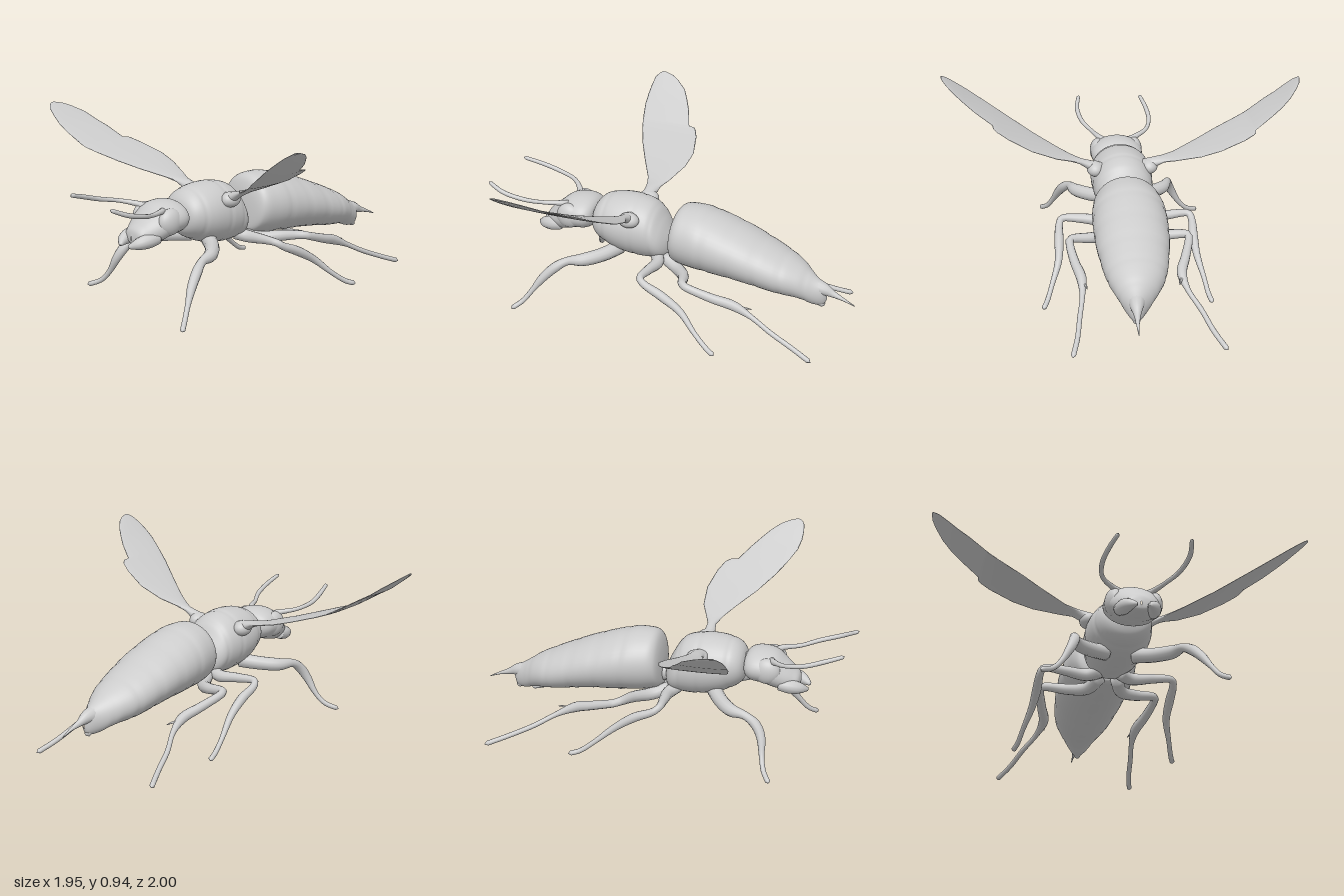
import * as THREE from 'three';

const material = new THREE.MeshStandardMaterial({ color: 0xcccccc });
const wingMaterial = new THREE.MeshStandardMaterial({ color: 0xcccccc, side: THREE.DoubleSide });
const V = (x, y, z) => new THREE.Vector3(x, y, z);

// Skin a list of rings { c, a, b }: centre and two half-axes, with a x b pointing along the list
function loft(rings, sides) {
  const pos = [], index = [];
  rings.forEach(({ c, a, b }, i) => {
    for (let j = 0; j < sides; j++) {
      const t = (j / sides) * Math.PI * 2;
      const p = c.clone().addScaledVector(a, Math.cos(t)).addScaledVector(b, Math.sin(t));
      pos.push(p.x, p.y, p.z);
      if (i === rings.length - 1) continue;
      const k = (j + 1) % sides, r = i * sides, s = r + sides;
      index.push(r + j, r + k, s + j, r + k, s + k, s + j);
    }
  });
  const g = new THREE.BufferGeometry();
  g.setAttribute('position', new THREE.Float32BufferAttribute(pos, 3));
  g.setIndex(index);
  g.computeVertexNormals();
  return g;
}

const spline = (pts) => new THREE.CatmullRomCurve3(pts, false, 'catmullrom', 0.5);

// Body section rows: [z, top, bottom, halfWidth, centreX], z increasing
function body(rows, ripple = () => 1) {
  const height = spline(rows.map((r) => V(r[0], r[1], r[2])));
  const width = spline(rows.map((r) => V(r[3], r[4], 0)));
  const n = rows.length * 8, rings = [];
  for (let i = 0; i <= n; i++) {
    const h = height.getPoint(i / n), w = width.getPoint(i / n), k = ripple(h.x);
    rings.push({
      c: V(w.y, (h.y + h.z) / 2, h.x),
      a: V(Math.max(w.x, 0.001) * k, 0, 0),
      b: V(0, Math.max((h.y - h.z) / 2, 0.001) * k, 0),
    });
  }
  return loft(rings, 40);
}

// Tapering round limb through rows [x, y, z, radius], with rounded ends
function limb(rows, sides = 12) {
  const path = spline(rows.map((r) => V(r[0], r[1], r[2])));
  const radius = spline(rows.map((r) => V(r[3], 0, 0)));
  const n = rows.length * 6;
  const frames = path.computeFrenetFrames(n, false);
  const rings = [];
  for (let i = 0; i <= n; i++) {
    const u = i / n, t = path.getUtoTmapping(u);
    const r = i === 0 || i === n ? 0.0005 : Math.max(radius.getPoint(t).x, 0.002);
    rings.push({
      c: path.getPoint(t),
      a: frames.normals[i].clone().multiplyScalar(r),
      b: frames.binormals[i].clone().multiplyScalar(r),
    });
  }
  return loft(rings, sides);
}

// Thin blade from rows [|x|, y, rearZ, frontZ, halfThickness], root to tip
function wing(rows, side) {
  const rings = rows.map(([x, y, r, f, t]) => {
    const up = V(-0.45 * side * t, t, 0), along = V(0, 0, (f - r) / 2);
    return { c: V(side * x, y, (r + f) / 2), a: side > 0 ? up : along, b: side > 0 ? along : up };
  });
  return loft(rings, 24);
}

export function createModel() {
  const model = new THREE.Group();
  const add = (name, geometry, mat = material) => {
    const m = new THREE.Mesh(geometry, mat);
    m.name = name;
    model.add(m);
    return m;
  };
  const ball = (name, x, y, z, sx, sy, sz) => {
    const m = add(name, new THREE.SphereGeometry(1, 24, 16));
    m.position.set(x, y, z);
    m.scale.set(sx, sy, sz);
    return m;
  };

  // Abdomen with shallow overlapping bands
  const bands = [-0.74, -0.62, -0.49, -0.35, -0.2];
  add('abdomen', body([
    [-0.85, 0.25, 0.21, 0.004, 0.04], [-0.83, 0.29, 0.175, 0.032, 0.04], [-0.78, 0.32, 0.17, 0.064, 0.035],
    [-0.7, 0.375, 0.195, 0.115, 0.025], [-0.6, 0.425, 0.205, 0.155, 0.02], [-0.4, 0.51, 0.235, 0.187, 0.018],
    [-0.2, 0.575, 0.25, 0.193, 0.017], [-0.1, 0.587, 0.258, 0.182, 0.018], [-0.04, 0.575, 0.27, 0.165, 0.02],
    [-0.012, 0.52, 0.28, 0.13, 0.02], [0, 0.42, 0.3, 0.05, 0.02], [-0.01, 0.37, 0.35, 0.002, 0.02],
  ], (z) => 1 - bands.reduce((s, b) => s + 0.022 * Math.exp(-(((z - b) / 0.012) ** 2)), 0)));
  add('sting', limb([[0.035, 0.27, -0.76, 0.05], [0.04, 0.262, -0.83, 0.034], [0.042, 0.245, -0.88, 0.018],
    [0.045, 0.225, -0.94, 0.008], [0.045, 0.2, -1, 0.002]]));
  add('stingSheath', limb([[0.035, 0.23, -0.74, 0.04], [0.04, 0.2, -0.8, 0.03], [0.04, 0.165, -0.835, 0.012]]));

  // Waist and thorax
  add('waist', limb([[0.02, 0.37, 0.08, 0.08], [0.02, 0.36, 0.02, 0.05], [0.02, 0.36, -0.04, 0.07]], 20));
  const seams = [0.1, 0.2, 0.36];
  add('thorax', body([
    [0.01, 0.38, 0.33, 0.01, 0.02], [0.03, 0.43, 0.29, 0.08, 0.02], [0.06, 0.49, 0.27, 0.125, 0.02],
    [0.11, 0.56, 0.265, 0.148, 0.02], [0.2, 0.59, 0.265, 0.163, 0.02], [0.3, 0.59, 0.285, 0.163, 0.022],
    [0.38, 0.572, 0.32, 0.143, 0.023], [0.425, 0.535, 0.355, 0.11, 0.024], [0.445, 0.48, 0.4, 0.05, 0.024],
    [0.45, 0.45, 0.43, 0.002, 0.024],
  ], (z) => 1 - seams.reduce((s, b) => s + 0.02 * Math.exp(-(((z - b) / 0.01) ** 2)), 0)));

  // Head
  add('neck', limb([[0.024, 0.45, 0.39, 0.06], [0.024, 0.455, 0.44, 0.055], [0.025, 0.46, 0.5, 0.06]], 16));
  add('head', body([
    [0.435, 0.47, 0.43, 0.02, 0.025], [0.445, 0.515, 0.4, 0.1, 0.025], [0.48, 0.54, 0.375, 0.135, 0.025],
    [0.54, 0.545, 0.365, 0.142, 0.025], [0.6, 0.53, 0.345, 0.132, 0.024], [0.65, 0.49, 0.335, 0.108, 0.022],
    [0.69, 0.455, 0.34, 0.082, 0.022], [0.72, 0.425, 0.35, 0.055, 0.022], [0.73, 0.39, 0.37, 0.003, 0.022],
  ]));
  for (const s of [1, -1]) {
    ball('eye', 0.025 + s * 0.1, 0.455, 0.565, 0.045, 0.068, 0.07);
    add('mandible', limb([[0.022 + s * 0.085, 0.385, 0.62, 0.03], [0.022 + s * 0.075, 0.375, 0.68, 0.037],
      [0.022 + s * 0.06, 0.365, 0.73, 0.03], [0.022 + s * 0.03, 0.35, 0.775, 0.008]]));
  }

  // Antennae
  add('leftAntenna', limb([[0.08, 0.5, 0.58, 0.022], [0.115, 0.515, 0.61, 0.015], [0.155, 0.52, 0.7, 0.011],
    [0.2, 0.54, 0.79, 0.012], [0.22, 0.57, 0.9, 0.012], [0.205, 0.61, 0.995, 0.01]]));
  add('rightAntenna', limb([[-0.04, 0.5, 0.58, 0.022], [-0.09, 0.515, 0.605, 0.015], [-0.155, 0.53, 0.67, 0.011],
    [-0.18, 0.55, 0.77, 0.012], [-0.17, 0.58, 0.87, 0.012], [-0.145, 0.61, 0.97, 0.01]]));

  // Wings, each with a notch in the rear edge
  add('leftWing', wing([
    [0.12, 0.5, 0.16, 0.25, 0.04], [0.18, 0.53, 0.175, 0.235, 0.025], [0.24, 0.56, 0.18, 0.225, 0.014],
    [0.3, 0.585, 0.155, 0.255, 0.008], [0.37, 0.612, 0.125, 0.298, 0.007], [0.5, 0.665, 0.115, 0.39, 0.006],
    [0.62, 0.725, 0.145, 0.47, 0.006], [0.68, 0.757, 0.175, 0.503, 0.006], [0.698, 0.767, 0.2, 0.513, 0.006],
    [0.702, 0.769, 0.24, 0.515, 0.006], [0.795, 0.822, 0.3, 0.56, 0.005], [0.85, 0.858, 0.345, 0.572, 0.005],
    [0.9, 0.892, 0.39, 0.573, 0.005], [0.94, 0.92, 0.44, 0.567, 0.004], [0.96, 0.933, 0.48, 0.555, 0.004],
    [0.97, 0.94, 0.515, 0.54, 0.003]], 1), wingMaterial);
  add('rightWing', [[
    [0.08, 0.5, 0.16, 0.28, 0.04], [0.15, 0.535, 0.18, 0.25, 0.025], [0.2, 0.552, 0.175, 0.255, 0.014],
    [0.26, 0.565, 0.15, 0.275, 0.008], [0.395, 0.6, 0.11, 0.352, 0.007], [0.5, 0.632, 0.105, 0.41, 0.006],
    [0.63, 0.672, 0.14, 0.468, 0.006], [0.68, 0.69, 0.165, 0.488, 0.006], [0.695, 0.698, 0.18, 0.493, 0.006],
    [0.7, 0.7, 0.212, 0.495, 0.006], [0.79, 0.755, 0.25, 0.518, 0.005], [0.85, 0.79, 0.285, 0.525, 0.005],
    [0.9, 0.828, 0.32, 0.525, 0.005], [0.945, 0.862, 0.38, 0.52, 0.004], [0.965, 0.878, 0.42, 0.505, 0.004],
    [0.975, 0.887, 0.465, 0.49, 0.003]]].map((rows) => wing(rows, -1))[0], wingMaterial);
  ball('leftWingBase', 0.165, 0.515, 0.2, 0.045, 0.04, 0.055);
  ball('rightWingBase', -0.125, 0.515, 0.21, 0.045, 0.04, 0.055);

  // Legs: hip, thigh, knee, shin and foot as one tapering limb each
  const legs = {
    leftFrontLeg: [[0.08, 0.31, 0.28, 0.04], [0.18, 0.295, 0.34, 0.037], [0.26, 0.285, 0.42, 0.034],
      [0.29, 0.275, 0.5, 0.022], [0.32, 0.24, 0.56, 0.026], [0.35, 0.18, 0.62, 0.023],
      [0.38, 0.11, 0.67, 0.014], [0.41, 0.05, 0.715, 0.013], [0.45, 0.014, 0.765, 0.013]],
    rightFrontLeg: [[-0.04, 0.31, 0.28, 0.04], [-0.14, 0.295, 0.34, 0.037], [-0.22, 0.285, 0.41, 0.034],
      [-0.255, 0.28, 0.49, 0.022], [-0.265, 0.24, 0.55, 0.026], [-0.29, 0.18, 0.585, 0.023],
      [-0.335, 0.1, 0.6, 0.014], [-0.385, 0.045, 0.62, 0.013], [-0.45, 0.014, 0.66, 0.013]],
    leftMiddleLeg: [[0.06, 0.3, 0.09, 0.035], [0.14, 0.285, 0.05, 0.032], [0.25, 0.295, 0.055, 0.025],
      [0.35, 0.3, 0.058, 0.019], [0.372, 0.275, 0.02, 0.02], [0.378, 0.235, -0.07, 0.024], [0.388, 0.17, -0.18, 0.019],
      [0.425, 0.09, -0.27, 0.013], [0.455, 0.035, -0.345, 0.013], [0.48, 0.014, -0.4, 0.013]],
    rightMiddleLeg: [[-0.02, 0.3, 0.09, 0.035], [-0.1, 0.285, 0.05, 0.032], [-0.21, 0.295, 0.055, 0.025],
      [-0.315, 0.3, 0.058, 0.019], [-0.336, 0.275, 0.02, 0.02], [-0.333, 0.235, -0.07, 0.024],
      [-0.34, 0.17, -0.17, 0.019], [-0.365, 0.09, -0.27, 0.013], [-0.38, 0.035, -0.345, 0.013],
      [-0.395, 0.014, -0.41, 0.013]],
    leftHindLeg: [[0.06, 0.285, 0.05, 0.035], [0.11, 0.255, -0.05, 0.033], [0.2, 0.27, -0.12, 0.029],
      [0.31, 0.29, -0.16, 0.022], [0.328, 0.28, -0.2, 0.021], [0.31, 0.24, -0.32, 0.024], [0.283, 0.205, -0.43, 0.026],
      [0.285, 0.16, -0.53, 0.014], [0.305, 0.105, -0.64, 0.013], [0.325, 0.055, -0.76, 0.013],
      [0.355, 0.014, -0.87, 0.013]],
    rightHindLeg: [[-0.02, 0.285, 0.05, 0.035], [-0.07, 0.255, -0.05, 0.033], [-0.16, 0.27, -0.12, 0.029],
      [-0.275, 0.29, -0.16, 0.022], [-0.292, 0.28, -0.2, 0.021], [-0.26, 0.24, -0.32, 0.024],
      [-0.23, 0.205, -0.42, 0.026], [-0.25, 0.16, -0.52, 0.014], [-0.305, 0.105, -0.63, 0.013],
      [-0.35, 0.055, -0.75, 0.013], [-0.405, 0.014, -0.87, 0.013]],
  };
  for (const [name, rows] of Object.entries(legs)) add(name, limb(rows));

  // Small spurs at the end of the hind shins
  for (const [x, s] of [[0.28, -1], [-0.23, 1]])
    for (const d of [0, 0.02])
      add('shinSpur', limb([[x, 0.2, -0.44 - d, 0.007], [x + s * 0.015, 0.195, -0.475 - d, 0.005],
        [x + s * 0.022, 0.19, -0.5 - d, 0.002]], 6));

  return model;
}
